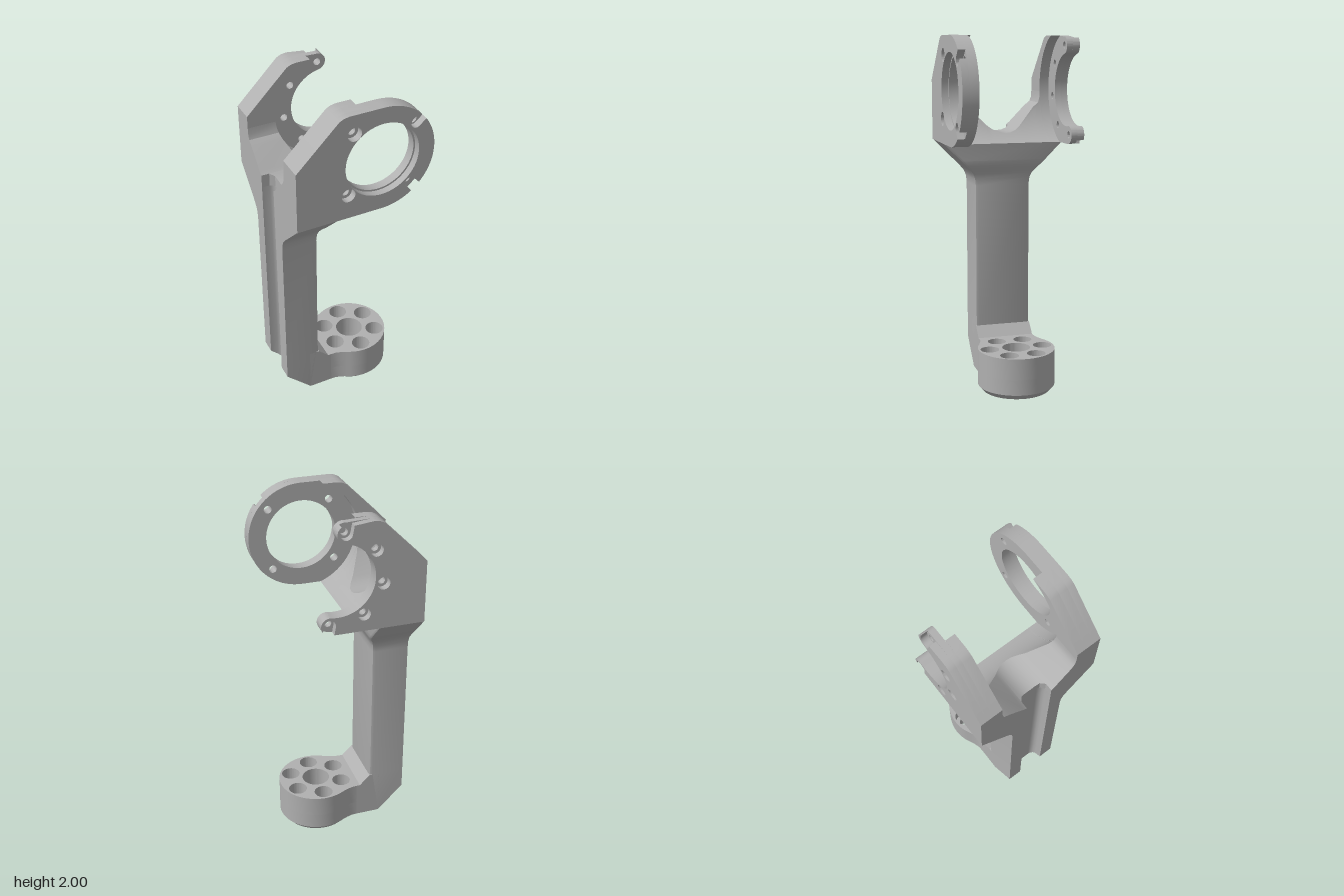
import * as THREE from 'three';
import { toCreasedNormals } from 'three/addons/utils/BufferGeometryUtils.js';

const CX = 0.09, CY = 1.7, RING = 0.25; // bearing centre and bolt circle
const rad = (d) => d * Math.PI / 180;
const at = (x, y, r, deg) => new THREE.Vector2(x + r * Math.cos(rad(deg)), y + r * Math.sin(rad(deg)));
const polar = (r, deg) => at(CX, CY, r, deg);
const arc = (x, y, r, a, b, n = 24) =>
  Array.from({ length: n + 1 }, (_, i) => at(x, y, r, a + (b - a) * i / n));

// Stack layer: points outline + round holes [x, y, r], extruded from z0 to z1
function slab(outline, holes, z0, z1) {
  const shape = new THREE.Shape(outline);
  shape.holes = holes.map(([x, y, r]) => new THREE.Path().absarc(x, y, r, 0, Math.PI * 2, true));
  const g = new THREE.ExtrudeGeometry(shape, { depth: z1 - z0, bevelEnabled: false, curveSegments: 28 });
  return g.translate(0, 0, z0);
}

// Skin through rings of equal point count; optional cap on the first ring
function loft(rings, capFirst = false) {
  const n = rings[0].length, index = [];
  for (let k = 0; k < rings.length - 1; k++) {
    for (let i = 0; i < n; i++) {
      const j = (i + 1) % n, a = k * n + i, b = k * n + j;
      index.push(a, b, b + n, a, b + n, a + n);
    }
  }
  if (capFirst) {
    const flat = rings[0].map(([x, , z]) => new THREE.Vector2(x, -z));
    THREE.ShapeUtils.triangulateShape(flat, []).forEach(([a, b, c]) => index.push(a, c, b));
  }
  const g = new THREE.BufferGeometry();
  g.setAttribute('position', new THREE.Float32BufferAttribute(rings.flat(2), 3));
  g.setIndex(index);
  return g;
}

// Open bolt seat cut radially into a rim; h1 and h2 are its side lengths
function notch(deg, r, h1, h2) {
  const p = polar(RING, deg);
  const a = at(p.x, p.y, r, deg - 90), b = at(p.x, p.y, r, deg + 90);
  return [at(a.x, a.y, h1, deg), ...arc(p.x, p.y, r, deg - 90, deg - 270, 12), at(b.x, b.y, h2, deg)];
}

export function createModel() {
  const model = new THREE.Group();
  const metal = new THREE.MeshStandardMaterial({ color: 0xb0b0b0 });
  metal.name = 'grey metal';
  const add = (name, geometry) => {
    const mesh = new THREE.Mesh(toCreasedNormals(geometry, 0.55), metal);
    mesh.name = name;
    model.add(mesh);
  };
  const V = (x, y) => new THREE.Vector2(x, y);
  const leftEdge = [V(-0.1, 2), V(-0.13, 1.995), V(-0.155, 1.983), V(-0.39, 1.75), V(-0.39, 1.4)];

  // Front plate: closed ring with two round and two open bolt seats
  const bolts = [42, 130, 220, 312];
  const boltHoles = (list, r) => list.map((d) => [...polar(RING, d).toArray(), r]);
  const round = [...arc(CX, CY, 0.3, -90, 90, 48), ...leftEdge];
  const nr = 0.03, half = Math.asin(nr / 0.3) * 180 / Math.PI, h = Math.sqrt(0.09 - nr * nr) - RING;
  const notched = [
    ...arc(CX, CY, 0.3, -90, -49 - half), ...notch(-48, nr, h, h),
    ...arc(CX, CY, 0.3, -47 + half, 41 - half), ...notch(42, nr, h, h),
    ...arc(CX, CY, 0.3, 43 + half, 90), ...leftEdge,
  ];
  add('frontPlateInner', slab(round, [[CX, CY, 0.2], ...boltHoles(bolts, 0.022)], 0.28, 0.33));
  add('frontPlateOuter', slab(notched, [[CX, CY, 0.21], ...boltHoles([130, 220], 0.039)], 0.33, 0.37));

  // Rear plate: open C with rounded tips
  const t1 = polar(RING, 280), t2 = polar(RING, 100), tr = 0.048, br = 0.033;
  const tipCut = Math.asin(br / tr) * 180 / Math.PI, tipH = Math.sqrt(tr * tr - br * br);
  const rimCut = Math.asin(br / 0.3) * 180 / Math.PI, rimH = Math.sqrt(0.09 - br * br) - RING;
  const innerArc = arc(CX, CY, RING - tr, 279, 101, 40);
  const cPlain = [
    ...arc(CX, CY, 0.3, 270, 279, 4), ...arc(t1.x, t1.y, tr, 280, 460),
    ...innerArc, ...arc(t2.x, t2.y, tr, 280, 460), ...leftEdge,
  ];
  const cNotched = [
    V(CX, 1.4), polar(0.3, 279.5 - rimCut), ...notch(280, br, rimH, tipH),
    ...arc(t1.x, t1.y, tr, 281 + tipCut, 460), ...innerArc,
    ...arc(t2.x, t2.y, tr, 280, 459 - tipCut), ...notch(100, br, tipH, rimH), ...leftEdge,
  ];
  const rearBolts = [145, 190, 235];
  add('rearPlateInner', slab(cPlain, boltHoles([100, ...rearBolts, 280], 0.02), -0.33, -0.295));
  add('rearPlateOuter', slab(cNotched, boltHoles(rearBolts, 0.035), -0.37, -0.33));

  // Thick roots of both plates, cut by the round pocket
  const root = [...arc(CX, CY, 0.32, 249.64, 110.36, 40), ...leftEdge];
  add('frontPlateRoot', slab(root, [], 0.225, 0.28));
  add('rearPlateRoot', slab(root, [], -0.295, -0.24));

  // Fork saddle: U-shaped floor between the plates, with the rear channel
  const floor = [[0, 1.45], [0.03, 1.453], [0.06, 1.464], [0.08, 1.476], [0.08, 1.476], [0.1, 1.492],
    [0.195, 1.59], [0.213, 1.615], [0.222, 1.64], [0.225, 1.68]];
  const saddleRing = (z, y, xmin) => {
    const ring = [[xmin, 1.4, z]];
    for (let i = 0; i <= 12; i++) {
      const yy = 1.4 + (y - 1.4) * i / 12;
      ring.push([CX - Math.sqrt(0.1024 - (yy - CY) ** 2), yy, z]);
    }
    ring.push([xmin, y, z]);
    return ring;
  };
  const xmins = [-0.315, -0.315, -0.32, -0.345];
  const side = (s) => floor.map(([z, y], i) =>
    saddleRing(s < 0 && z > 0.2 ? -z - 0.015 : s * z, y, xmins[i] ?? -0.39));
  add('forkSaddle', loft([...side(-1).reverse(), ...side(1).slice(1)]));

  // Column: channelled section, flared at the top, cut at a slant below
  const section = (y, w, xm) => {
    const right = [[-0.315, 0.045], [-0.318, 0.06], [-0.328, 0.073], [-0.345, 0.08], [-0.39, 0.08],
      [-0.39, w], [xm - 0.02, w], [xm - 0.006, w - 0.006], [xm, w - 0.02]];
    const loop = [...right, ...right.map(([x, z]) => [x, -z]).reverse()];
    return loop.map(([x, z]) => [x, y, z]);
  };
  const foot = section(0, 0.165, -0.18).map(([x, , z]) => {
    const xx = Math.min(x, -0.24);
    return [xx, 0.18 - (xx + 0.39), z];
  });
  const rows = [[0.3, 0.165, -0.18], [1.14, 0.165, -0.18], [1.18, 0.17, -0.177], [1.21, 0.183, -0.168],
    [1.24, 0.208, -0.153], [1.265, 0.233, -0.143], [1.29, 0.258, -0.14], [1.4, 0.368, -0.14]];
  add('column', loft([foot, ...rows.map((r) => section(...r))], true));

  // Elbow joining the column and foot
  add('elbow', slab([V(-0.24, 0.03), V(-0.1, 0.03), V(-0.1, 0.24), V(-0.12, 0.24), V(-0.18, 0.3), V(-0.24, 0.3)],
    [], -0.165, 0.165));

  // Foot: round flange with counterbored bolt circle
  const FX = 0.105;
  const neck = [V(-0.1, -0.165), V(-0.07, -0.167), V(-0.04, -0.176)];
  const flange = [...neck, ...arc(FX, 0, 0.22, -120, 120, 56),
    ...neck.map(({ x, y }) => V(x, -y)).reverse()];
  const flangeHoles = (r) => [[FX, 0, 0.08],
    ...Array.from({ length: 6 }, (_, i) => [...at(FX, 0, 0.156, 30 + 60 * i).toArray(), r])];
  add('footLower', slab(flange, flangeHoles(0.028), 0.03, 0.12).rotateX(-Math.PI / 2));
  add('footUpper', slab(flange, flangeHoles(0.053), 0.12, 0.24).rotateX(-Math.PI / 2));

  // Chamfered bottom disc: its lower rim is drawn inwards
  const disc = slab(arc(FX, 0, 0.22, 0, 354, 59), flangeHoles(0.028), 0, 0.03);
  const p = disc.attributes.position;
  for (let i = 0; i < p.count; i++) {
    const dx = p.getX(i) - FX, dy = p.getY(i);
    if (p.getZ(i) < 0.01 && Math.hypot(dx, dy) > 0.21) p.setXY(i, FX + dx * 0.88, dy * 0.88);
  }
  add('footChamfer', disc.rotateX(-Math.PI / 2));

  return model;
}
